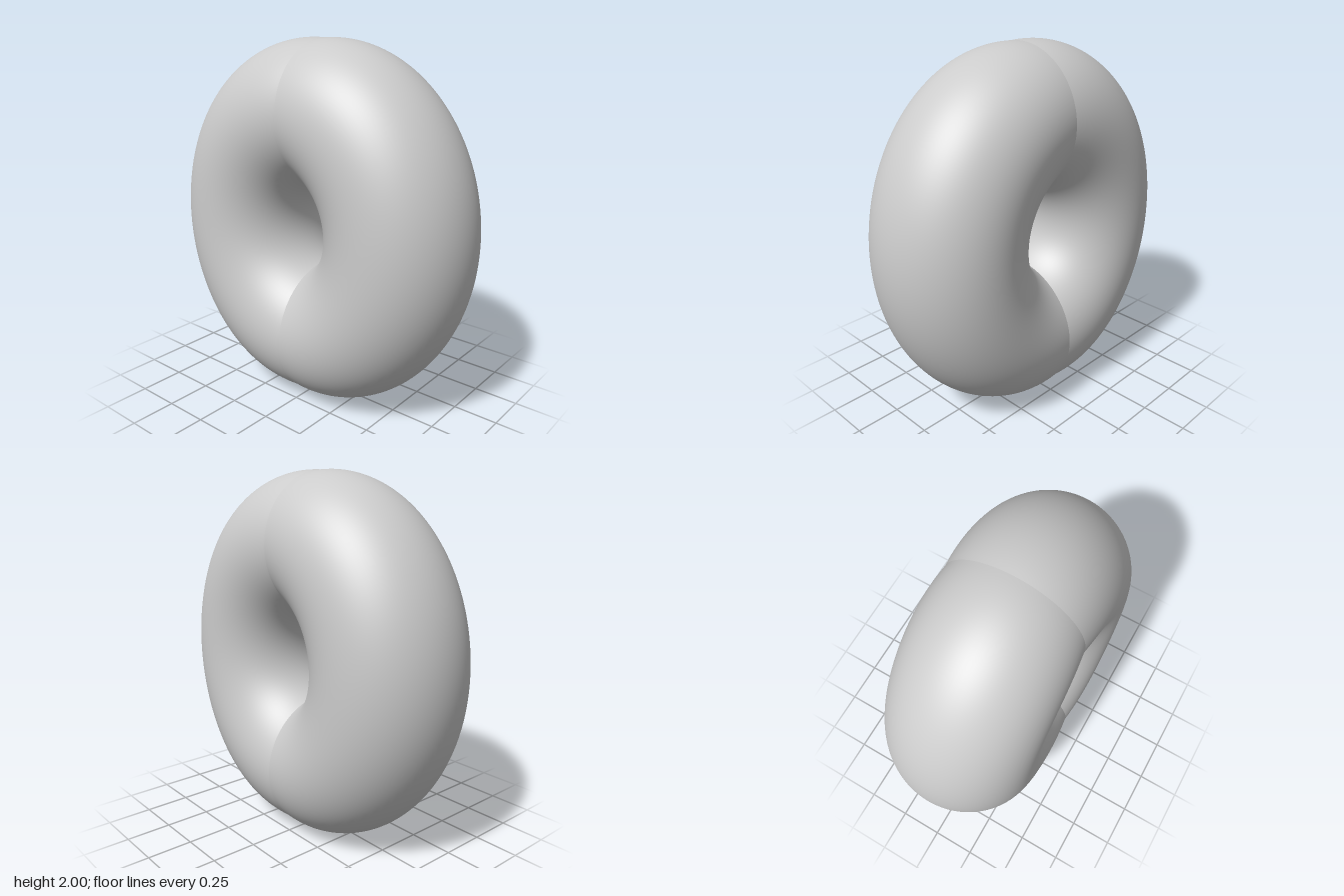
import * as THREE from 'three';

const AROUND = 96; // points in each cross-section
const ALONG = 96;  // cross-sections in each half

// Half of the ring, on the +x side: elliptical sections spanning from the
// pointed inner hole to the oval outer rim, both ending in the plane x = 0.
function halfRingGeometry() {
  const outerEnd = Math.PI / 2 + Math.asin(0.06 / 0.85);
  const holeRadius = 0.287, holeCentre = -0.165;
  const holeEnd = Math.acos(-holeCentre / holeRadius);
  const positions = [], indices = [];

  for (let i = 0; i <= ALONG; i++) {
    const u = (i / ALONG) * 2 - 1;
    const atSeam = i === 0 || i === ALONG;
    const outer = new THREE.Vector2(0.06 + 0.85 * Math.cos(u * outerEnd), Math.sin(u * outerEnd));
    const inner = new THREE.Vector2(
      holeCentre + holeRadius * Math.cos(u * holeEnd), holeRadius * Math.sin(u * holeEnd));
    if (atSeam) outer.x = inner.x = 0;
    const middle = outer.clone().add(inner).multiplyScalar(0.5);
    const reach = outer.clone().sub(middle);
    // the tube narrows a little towards the seam
    const depth = 0.385 + 0.025 * (1 - Math.pow(Math.max(0, 1 - middle.x / 0.5), 3));
    for (let j = 0; j < AROUND; j++) {
      const a = (j / AROUND) * Math.PI * 2;
      positions.push(
        middle.x + reach.x * Math.cos(a), middle.y + reach.y * Math.cos(a), depth * Math.sin(a));
    }
  }
  for (let i = 0; i < ALONG; i++) {
    for (let j = 0; j < AROUND; j++) {
      const k = (j + 1) % AROUND;
      const a = i * AROUND + j, b = a + AROUND;
      const d = i * AROUND + k, c = d + AROUND;
      indices.push(a, b, c, a, c, d);
    }
  }
  const geometry = new THREE.BufferGeometry();
  geometry.setAttribute('position', new THREE.Float32BufferAttribute(positions, 3));
  geometry.setIndex(indices);
  geometry.computeVertexNormals();
  return geometry;
}

export function createModel() {
  const group = new THREE.Group();
  group.name = 'creasedRing';
  const geometry = halfRingGeometry();
  const material = new THREE.MeshStandardMaterial({ color: 0xcccccc });

  // Two equal halves meet in a crease at the top and bottom
  ['leftHalf', 'rightHalf'].forEach((name, i) => {
    const half = new THREE.Mesh(geometry, material);
    half.name = name;
    half.position.y = 1;
    half.rotation.z = i * Math.PI;
    group.add(half);
  });
  return group;
}
